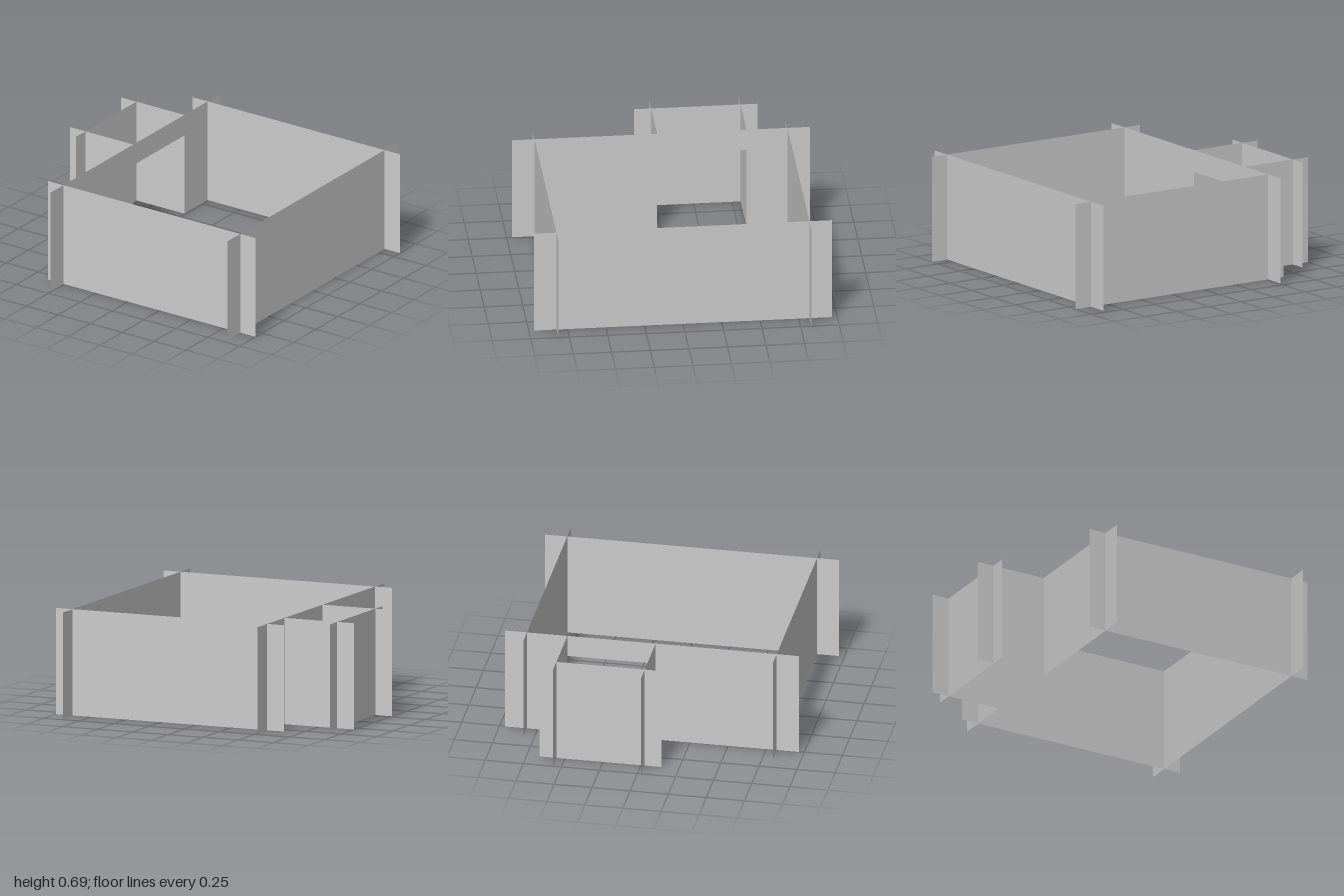
import * as THREE from 'three';

const H = 0.695;                                  // wall height
const DOOR_H = 0.55;                              // height of the opening
const X_ROOM = -0.88, X_LEFT = -0.505, X_RIGHT = 0.88; // wall lines along x
const Z_MAIN = 0.82;                              // main room half depth
const Z_ROOM_BACK = -0.555, Z_ROOM_FRONT = 0.025; // alcove, also the opening
const OVER_X = 0.12, OVER_Z = 0.145, OVER_ALCOVE = 0.11; // overhang past corners

export function createModel() {
  const group = new THREE.Group();
  const material = new THREE.MeshStandardMaterial({
    color: 0xcccccc, side: THREE.DoubleSide, flatShading: true,
  });

  // Sheet wall across x, at a fixed z
  const wallX = (name, x0, x1, z) => {
    const mesh = new THREE.Mesh(new THREE.PlaneGeometry(x1 - x0, H), material);
    mesh.name = name;
    mesh.position.set((x0 + x1) / 2, H / 2, z);
    group.add(mesh);
  };

  // Sheet wall along z, at a fixed x, with an optional door notch [z0, z1]
  const wallZ = (name, z0, z1, x, door) => {
    const points = [[z0, 0]];
    if (door) points.push([door[0], 0], [door[0], DOOR_H], [door[1], DOOR_H], [door[1], 0]);
    points.push([z1, 0], [z1, H], [z0, H]);
    const shape = new THREE.Shape(points.map(([z, y]) => new THREE.Vector2(-z, y)));
    const mesh = new THREE.Mesh(new THREE.ShapeGeometry(shape), material);
    mesh.name = name;
    mesh.rotation.y = Math.PI / 2;
    mesh.position.x = x;
    group.add(mesh);
  };

  // Main room: crossing walls that run past each corner
  wallX('frontWall', X_LEFT - OVER_X, X_RIGHT + OVER_X, Z_MAIN);
  wallX('backWall', X_LEFT - OVER_X, X_RIGHT + OVER_X, -Z_MAIN);
  const zEnd = Z_MAIN + OVER_Z;
  wallZ('outerSideWall', -zEnd, zEnd, X_RIGHT);
  wallZ('doorwayWall', -zEnd, zEnd, X_LEFT, [Z_ROOM_BACK, Z_ROOM_FRONT]);

  // Alcove behind the opening
  wallX('alcoveFrontWall', X_ROOM - OVER_X, X_LEFT, Z_ROOM_FRONT);
  wallX('alcoveBackWall', X_ROOM - OVER_X, X_LEFT, Z_ROOM_BACK);
  wallZ('alcoveEndWall', Z_ROOM_BACK - OVER_ALCOVE, Z_ROOM_FRONT + OVER_ALCOVE, X_ROOM);

  return group;
}
